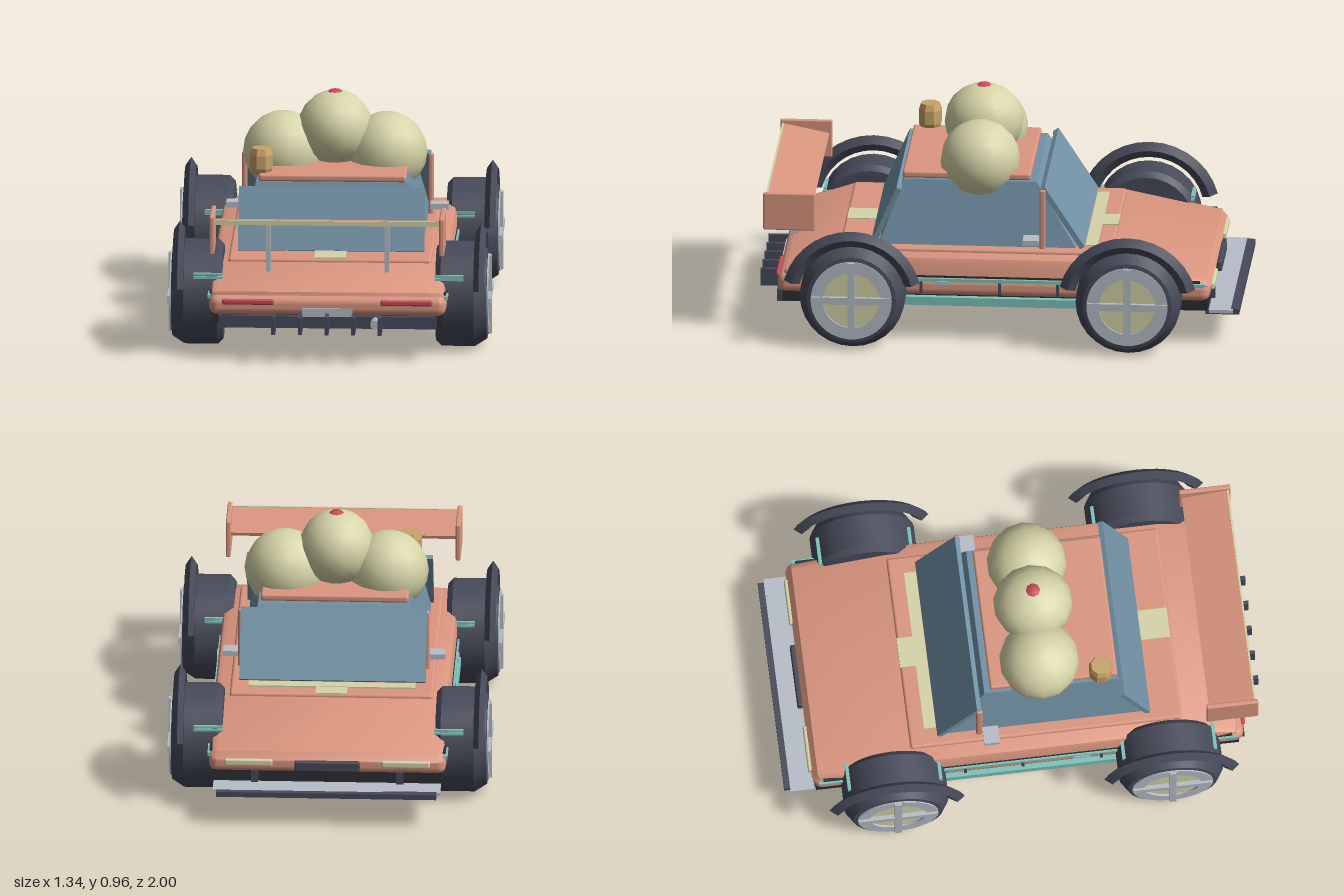
import * as THREE from 'three';
import { RoundedBoxGeometry } from 'three/addons/geometries/RoundedBoxGeometry.js';
import { toCreasedNormals } from 'three/addons/utils/BufferGeometryUtils.js';

const material = (name, color) => {
  const m = new THREE.MeshStandardMaterial({ color });
  m.name = name;
  return m;
};

export function createModel() {
  const paint = material('salmon paint', 0xdb967f);
  const cream = material('cream', 0xd6d4a8);
  const glass = material('blue glass', 0x7292a6);
  const rubber = material('dark rubber', 0x474a59);
  const black = material('black underside', 0x2c2d33);
  const silver = material('silver', 0xb6bec8);
  const teal = material('teal trim', 0x7cc4bc);
  const red = material('red', 0xc94a5a);
  const gold = material('gold', 0xc9a46a);

  const car = new THREE.Group();
  car.name = 'car';

  const add = (name, geometry, mat, x = 0, y = 0, z = 0, parent = car) => {
    const mesh = new THREE.Mesh(geometry, mat);
    mesh.name = name;
    mesh.position.set(x, y, z);
    parent.add(mesh);
    return mesh;
  };
  const box = (name, mat, [w, h, d], [x, y, z], parent) =>
    add(name, new THREE.BoxGeometry(w, h, d), mat, x, y, z, parent);
  const rounded = (name, mat, [w, h, d], [x, y, z], r, parent) =>
    add(name, new RoundedBoxGeometry(w, h, d, 2, r), mat, x, y, z, parent);

  // Side profile given as [z, y] points, extruded across the car with bevelled sides
  const extrudeX = (name, mat, points, width, bevel) => {
    const shape = new THREE.Shape(points.map(([z, y]) => new THREE.Vector2(-z, y)));
    const geo = new THREE.ExtrudeGeometry(shape, {
      depth: width - 2 * bevel, bevelEnabled: true, bevelSize: bevel, bevelOffset: -bevel,
      bevelThickness: bevel, bevelSegments: 2,
    });
    geo.translate(0, 0, bevel - width / 2);
    geo.rotateY(Math.PI / 2);
    return add(name, toCreasedNormals(geo, 0.6), mat);
  };

  // Body
  box('floor', black, [0.95, 0.05, 1.76], [0, 0.175, 0.01]);
  rounded('lowerBody', paint, [0.98, 0.085, 1.79], [0, 0.23, 0.015], 0.035);
  extrudeX('upperBody', paint, [
    [0.89, 0.25], [0.88, 0.285], [0.66, 0.36], [-0.47, 0.36], [-0.86, 0.28], [-0.885, 0.25],
  ], 0.97, 0.03);
  rounded('deck', paint, [0.84, 0.03, 1.13], [0, 0.36, 0.095], 0.012);
  box('rearStripe', cream, [0.13, 0.006, 0.13], [0, 0.376, 0.588]);
  box('frontStripe', cream, [0.13, 0.006, 0.07], [0, 0.376, -0.435]);
  box('cowl', cream, [0.69, 0.008, 0.05], [0, 0.377, -0.38]);

  // Cabin: a box tapered to the roof
  const cabin = new THREE.BoxGeometry(1, 1, 1).toNonIndexed();
  const p = cabin.attributes.position;
  for (let i = 0; i < p.count; i++) {
    const top = p.getY(i) > 0, back = p.getZ(i) > 0;
    p.setXYZ(i, Math.sign(p.getX(i)) * (top ? 0.315 : 0.375), top ? 0.64 : 0.37,
      back ? (top ? 0.4 : 0.5) : (top ? -0.15 : -0.32));
  }
  cabin.computeVertexNormals();
  add('cabinWindows', cabin, glass);
  // Slanted panes, placed between a lower and an upper [z, y] point
  const pane = (name, [z0, y0], [z1, y1]) => {
    const mesh = box(name, glass, [0.77, Math.hypot(z1 - z0, y1 - y0), 0.022],
      [0, (y0 + y1) / 2, (z0 + z1) / 2]);
    mesh.rotation.x = Math.atan2(z1 - z0, y1 - y0);
  };
  pane('windshield', [-0.345, 0.38], [-0.18, 0.635]);
  pane('rearWindow', [0.522, 0.375], [0.415, 0.62]);
  rounded('roof', paint, [0.61, 0.03, 0.53], [0, 0.655, 0.14], 0.01);

  // Roof load: three scoops with a cherry, and a lantern
  for (const [x, y, r] of [[-0.215, 0.7, 0.166], [0, 0.8, 0.156], [0.215, 0.7, 0.166]]) {
    add('scoop', new THREE.SphereGeometry(r, 14, 10), cream, x, y, 0.09).scale.z = r < 0.16 ? 1.06 : 1;
  }
  add('cherry', new THREE.SphereGeometry(0.045, 8, 6), red, 0, 0.92, 0.09);
  const lantern = new THREE.Group();
  lantern.name = 'lantern';
  lantern.position.set(-0.295, 0.713, 0.335);
  car.add(lantern);
  const lanternProfile = [[0, -0.055], [0.04, -0.055], [0.05, -0.028], [0.05, 0.028], [0.04, 0.055], [0, 0.055]]
    .map(([r, y]) => new THREE.Vector2(r, y));
  add('lanternBody', toCreasedNormals(new THREE.LatheGeometry(lanternProfile, 8, Math.PI / 8), 0.3),
    gold, 0, 0, 0, lantern);

  // Rear wing, its trailing edge raised
  const wing = box('wing', paint, [0.93, 0.014, 0.19], [0, 0.578, 0.86]);
  wing.rotation.x = -0.2;
  box('wingTrim', cream, [0.93, 0.02, 0.008], [0, 0.596, 0.957]);

  // Tail
  box('rearPlate', silver, [0.21, 0.036, 0.01], [0, 0.207, 0.912]);
  for (const x of [-0.22, -0.11, 0, 0.11, 0.22]) {
    box('diffuserFin', rubber, [0.016, 0.073, 0.11], [x, 0.167, 0.945]);
  }
  box('diffuser', rubber, [0.9, 0.05, 0.06], [0, 0.165, 0.885]);
  add('exhaust', new THREE.CylinderGeometry(0.02, 0.02, 0.08, 10), silver, 0.2, 0.17, 0.94).rotation.x = Math.PI / 2;

  // Nose
  box('splitter', silver, [0.94, 0.014, 0.1], [0, 0.146, -0.925]);
  box('splitterLip', rubber, [0.91, 0.022, 0.035], [0, 0.142, -0.9825]);
  box('splitterBase', rubber, [0.9, 0.012, 0.13], [0, 0.134, -0.925]);
  for (const x of [-0.3, 0.3]) box('splitterMount', rubber, [0.03, 0.06, 0.04], [x, 0.175, -0.87]);
  rounded('noseGrille', rubber, [0.27, 0.045, 0.025], [0, 0.23, -0.893], 0.008);

  for (const s of [-1, 1]) {
    // Mirrored fittings
    rounded('wingEndPlate', paint, [0.02, 0.16, 0.215], [s * 0.475, 0.54, 0.862], 0.006);
    box('wingStrut', silver, [0.018, 0.2, 0.03], [s * 0.245, 0.47, 0.86]);
    rounded('tailLight', red, [0.215, 0.024, 0.018], [s * 0.327, 0.249, 0.912], 0.008);
    rounded('headlight', cream, [0.2, 0.03, 0.02], [s * 0.325, 0.24, -0.886], 0.008);
    rounded('doorPillar', paint, [0.022, 0.26, 0.026], [s * 0.385, 0.5, -0.18], 0.008);
    box('mirror', silver, [0.075, 0.022, 0.065], [s * 0.422, 0.42, -0.135]);
    // Sills and side trim
    box('sill', teal, [0.03, 0.035, 0.78], [s * 0.487, 0.172, 0.02]);
    box('sideTrim', teal, [0.012, 0.014, 1.74], [s * 0.49, 0.262, 0.01]);
    box('sideSeam', black, [0.012, 0.008, 1.7], [s * 0.482, 0.275, 0.01]);
    for (const z of [-0.25, -0.01, 0.315]) box('sideRib', rubber, [0.012, 0.055, 0.012], [s * 0.488, 0.23, z]);
    box('doorHandle', silver, [0.012, 0.014, 0.07], [s * 0.494, 0.25, 0.235]);

    // Wheels, their axle along local y and the outer face at +y
    for (const z of [0.592, -0.55]) {
      const wheel = new THREE.Group();
      wheel.name = 'wheel';
      wheel.position.set(s * 0.44, 0.218, z);
      wheel.rotation.z = -s * Math.PI / 2;
      car.add(wheel);
      const tireProfile = [[0, 0], [0.195, 0], [0.217, 0.022], [0.217, 0.16], [0.185, 0.21], [0.165, 0.213], [0.15, 0.195], [0, 0.195]]
        .map(([r, y]) => new THREE.Vector2(r, y));
      add('tire', toCreasedNormals(new THREE.LatheGeometry(tireProfile, 28), 0.5), rubber, 0, 0, 0, wheel);
      add('hubDisc', new THREE.CylinderGeometry(0.118, 0.118, 0.02, 24), cream, 0, 0.2, 0, wheel);
      const rim = new THREE.Shape().absarc(0, 0, 0.168, 0, Math.PI * 2);
      rim.holes.push(new THREE.Path().absarc(0, 0, 0.118, 0, Math.PI * 2, true));
      const rimGeo = new THREE.ExtrudeGeometry(rim, { depth: 0.03, bevelEnabled: false, curveSegments: 24 });
      rimGeo.rotateX(-Math.PI / 2);
      add('rim', rimGeo, silver, 0, 0.188, 0, wheel);
      box('spoke', silver, [0.33, 0.022, 0.03], [0, 0.217, 0], wheel);
      box('spoke', silver, [0.03, 0.022, 0.33], [0, 0.217, 0], wheel);

      // Fender arch and its teal stays
      const arc = Math.PI * 0.84;
      const arch = new THREE.TorusGeometry(0.257, 0.033, 4, 14, arc);
      arch.rotateZ((Math.PI - arc) / 2);
      arch.scale(1, 1, 0.7);
      arch.rotateY(Math.PI / 2);
      const archMat = rubber.clone();
      archMat.side = THREE.DoubleSide;
      add('fenderArch', toCreasedNormals(arch, 0.5), rubber, s * 0.623, 0.218, z);
      for (const dz of [-0.19, 0.19]) {
        for (const y of [0.32, 0.334]) box('fenderStay', teal, [0.12, 0.009, 0.014], [s * 0.498, y, z + dz]);
      }
    }
  }
  return car;
}
